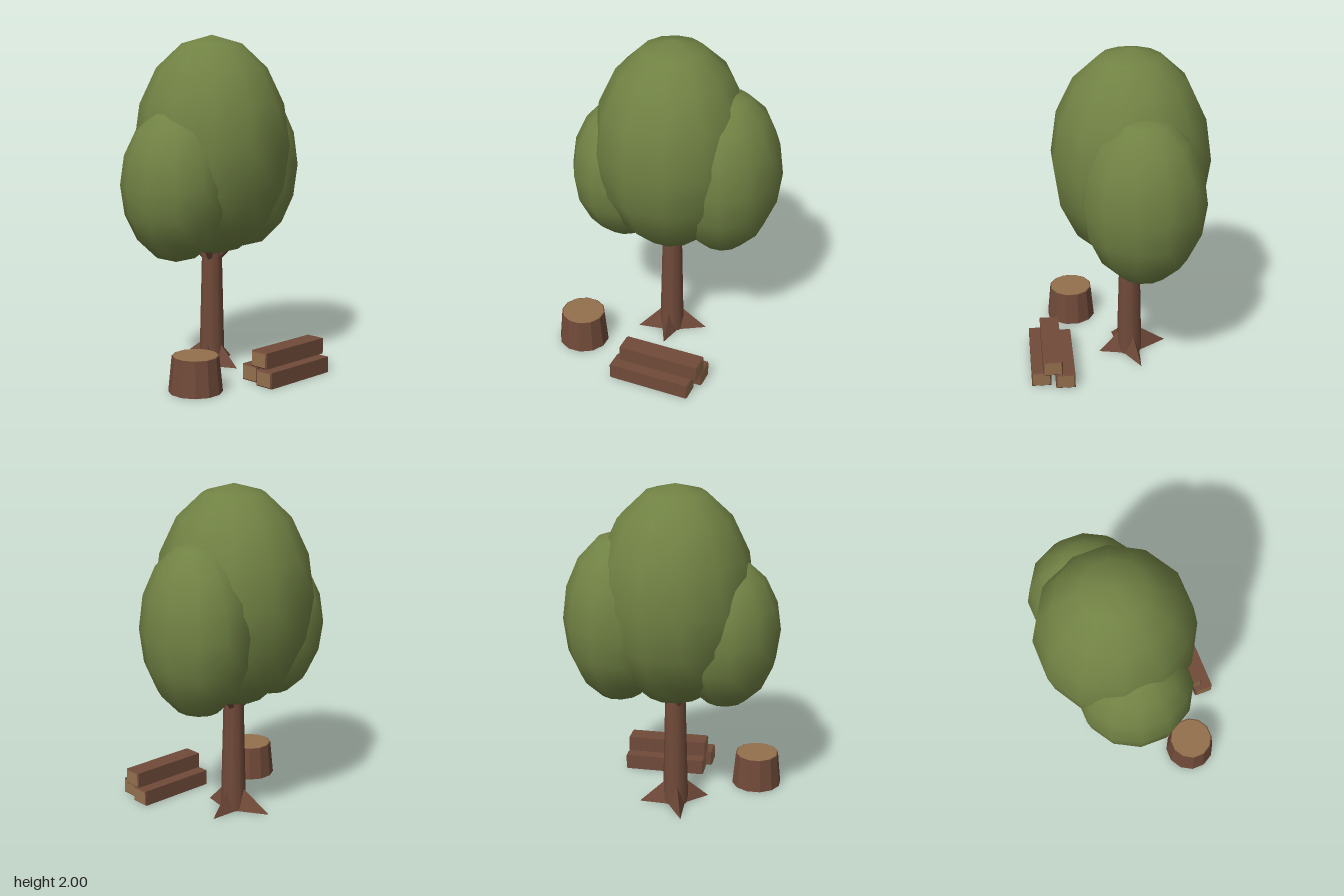
import * as THREE from 'three';

export function createModel() {
  const model = new THREE.Group();
  model.name = 'treeWithLogs';

  const material = (name, color, flatShading = false) => {
    const m = new THREE.MeshStandardMaterial({ color, flatShading });
    m.name = name;
    return m;
  };
  const leaf = material('leafGreen', 0x718244);
  const bark = material('barkBrown', 0x704a39);
  const wood = material('cutWood', 0x94704c);

  const add = (name, geometry, mat, x, y, z, parent = model) => {
    const mesh = new THREE.Mesh(geometry, mat);
    mesh.name = name;
    mesh.position.set(x, y, z);
    parent.add(mesh);
    return mesh;
  };
  const flat = (geometry) => {
    const g = geometry.index ? geometry.toNonIndexed() : geometry;
    g.computeVertexNormals();
    return g;
  };

  // Crown: three overlapping faceted-outline ellipsoids with smooth shading
  const crown = [
    ['crownMain', -0.01, 1.34, -0.08, 0.465, 0.66, 0.473],
    ['crownLeft', 0.29, 1.205, -0.2, 0.325, 0.515, 0.363],
    ['crownRight', -0.3, 1.13, 0, 0.32, 0.455, 0.342],
  ];
  for (const [name, x, y, z, rx, ry, rz] of crown) {
    add(name, new THREE.SphereGeometry(1, 12, 8).scale(rx, ry, rz), leaf, x, y, z);
  }

  // Trunk with short branch stubs and pointed roots
  const tree = new THREE.Group();
  tree.name = 'trunkGroup';
  tree.position.set(-0.01, 0, -0.08);
  model.add(tree);
  add('trunk', new THREE.CylinderGeometry(0.058, 0.079, 0.85, 10), bark, 0, 0.425, 0, tree);

  for (let i = 0; i < 4; i++) {
    const a = Math.PI / 4 + (i * Math.PI) / 2;
    const stub = add('branch', new THREE.CylinderGeometry(0.018, 0.025, 0.16, 6), bark,
      Math.cos(a) * 0.07, 0.7, Math.sin(a) * 0.07, tree);
    stub.quaternion.setFromUnitVectors(new THREE.Vector3(0, 1, 0),
      new THREE.Vector3(Math.cos(a), 1, Math.sin(a)).normalize());
  }

  // A root is a wedge: ridge on the trunk, tip on the ground along +x
  const rootGeometry = (length) => {
    const g = new THREE.BufferGeometry();
    g.setAttribute('position', new THREE.Float32BufferAttribute([
      0.05, 0.15, 0, length, 0, 0, 0.035, 0, -0.055, 0.035, 0, 0.055,
    ], 3));
    g.setIndex([0, 1, 2, 0, 3, 1, 0, 2, 3, 1, 3, 2]);
    return flat(g);
  };
  const roots = [[0.07, 0.18], [-0.16, 0.14], [-0.13, -0.21], [0.195, -0.105]];
  for (const [x, z] of roots) {
    add('root', rootGeometry(Math.hypot(x, z)), bark, 0, 0, 0, tree).rotation.y = Math.atan2(-z, x);
  }

  // Stump with a pale cut face
  const stump = new THREE.Group();
  stump.name = 'stump';
  stump.position.set(-0.375, 0, 0.363);
  model.add(stump);
  add('stumpBark', flat(new THREE.CylinderGeometry(0.135, 0.155, 0.207, 12)), bark, 0, 0.1035, 0, stump);
  add('stumpCut', flat(new THREE.CylinderGeometry(0.128, 0.131, 0.004, 12)), wood, 0, 0.208, 0, stump);

  // Stacked beams: bevelled bark sides, pale ends
  const beamGeometry = () => {
    const b = 0.007, w = 0.117 / 2 - b, h = 0.095 / 2 - b, length = 0.51;
    const s = new THREE.Shape();
    s.moveTo(-w, -h).lineTo(w, -h).lineTo(w, h).lineTo(-w, h).closePath();
    const g = new THREE.ExtrudeGeometry(s, {
      depth: length - 2 * b, bevelEnabled: true, bevelSize: b, bevelThickness: b, bevelSegments: 1,
    });
    return g.translate(0, 0, -length / 2 + b).rotateY(Math.PI / 2);
  };
  const beams = [
    ['beamFront', 0.234, 0.0475, 0.446],
    ['beamBack', 0.234, 0.0475, 0.297],
    ['beamTop', 0.25, 0.1425, 0.37],
  ];
  for (const [name, x, y, z] of beams) {
    add(name, beamGeometry(), [wood, bark], x, y, z).rotation.y = 0.25;
  }

  return model;
}
